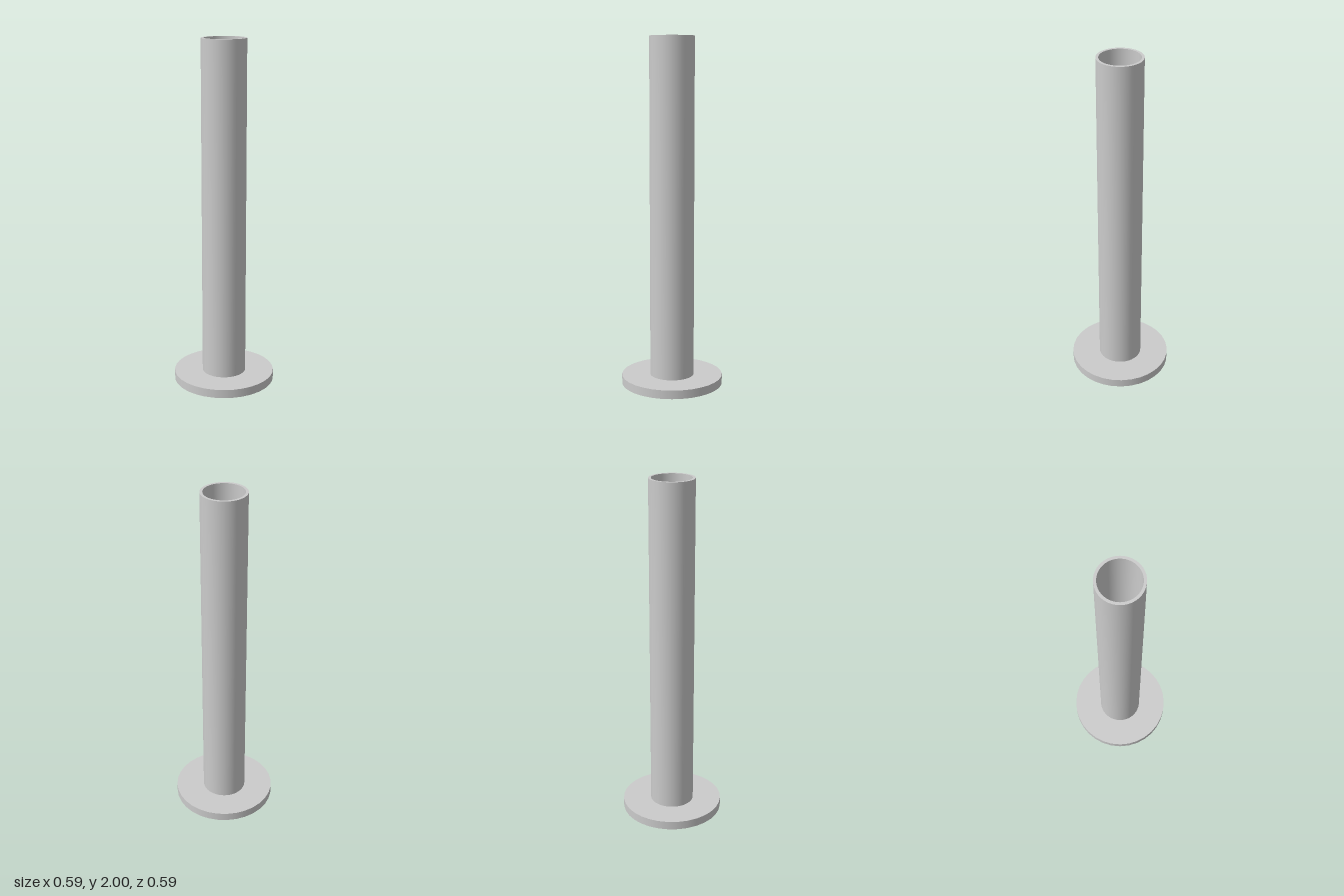
import * as THREE from 'three';

const BASE_RADIUS = 0.293, BASE_HEIGHT = 0.05;
const OUTER = 0.127, INNER = 0.112, TOP = 2;

export function createModel() {
  const model = new THREE.Group();
  const grey = new THREE.MeshStandardMaterial({ color: 0xcccccc });
  const greyOpen = new THREE.MeshStandardMaterial({ color: 0xcccccc, side: THREE.DoubleSide });
  const black = new THREE.MeshStandardMaterial({ color: 0x0d0d0d });

  const add = (name, geometry, material, y) => {
    const mesh = new THREE.Mesh(geometry, material);
    mesh.name = name;
    mesh.position.y = y;
    model.add(mesh);
    return mesh;
  };

  // Round foot plate
  add('basePlate', new THREE.CylinderGeometry(BASE_RADIUS, BASE_RADIUS, BASE_HEIGHT, 32), grey, BASE_HEIGHT / 2);

  // Hollow post: outer wall, inner wall and the flat rim joining them
  const length = TOP - BASE_HEIGHT, middle = BASE_HEIGHT + length / 2;
  const wall = (radius) => new THREE.CylinderGeometry(radius, radius, length, 48, 1, true);
  add('tubeOuterWall', wall(OUTER), grey, middle);
  add('tubeInnerWall', wall(INNER), greyOpen, middle);
  add('tubeRim', new THREE.RingGeometry(INNER, OUTER, 48).rotateX(-Math.PI / 2), grey, TOP);

  // Dark floor at the bottom of the bore
  add('boreFloor', new THREE.CircleGeometry(INNER - 0.001, 48).rotateX(-Math.PI / 2), black, BASE_HEIGHT + 0.005);

  return model;
}
